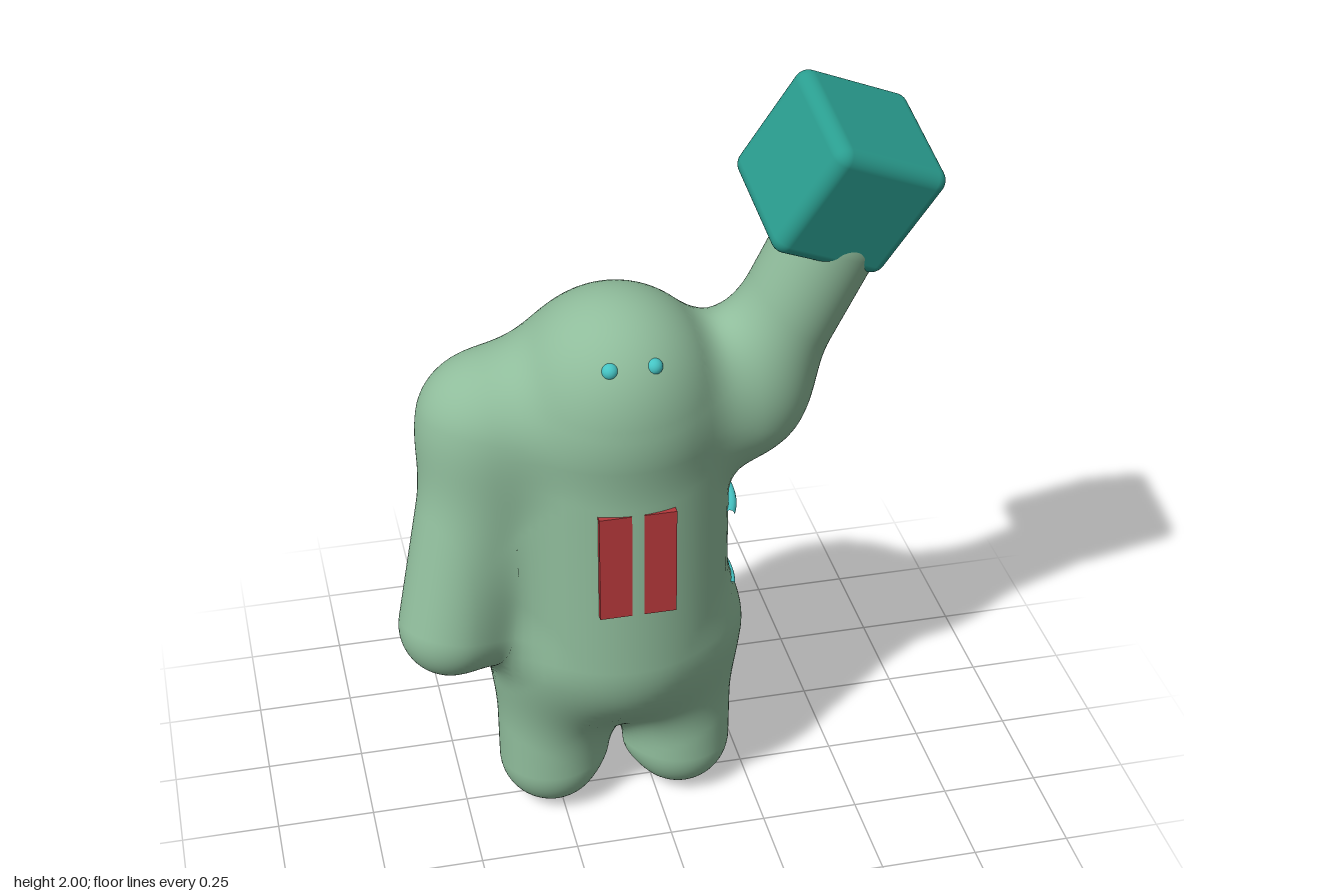
import * as THREE from 'three';
import { RoundedBoxGeometry } from 'three/addons/geometries/RoundedBoxGeometry.js';

const V = (x, y, z) => new THREE.Vector3(x, y, z);
const CX = -0.097; // body axis
const BLEND = 0.14; // softness of the joins between limbs

// Soft figure: name, start, end, radius of each rounded limb
const LIMBS = [
  ['torso', V(CX, 0.57, 0), V(CX, 1.165, 0), 0.29],
  ['head', V(CX, 1.3, 0.075), V(CX, 1.325, 0.08), 0.187],
  ['leftLeg', V(0.075, 0.135, 0), V(0.078, 0.5, 0), 0.135],
  ['rightLeg', V(-0.27, 0.135, 0), V(-0.273, 0.5, 0), 0.135],
  ['leftUpperArm', V(0, 1.18, 0), V(0.235, 1.18, 0), 0.127],
  ['leftForearm', V(0.235, 1.18, 0), V(0.43, 1.62, 0.05), 0.125],
  ['rightUpperArm', V(-0.2, 1.18, 0), V(-0.415, 1.18, 0), 0.127],
  ['rightForearm', V(-0.415, 1.18, 0), V(-0.53, 0.65, 0.09), 0.13],
];

const tmp = V(0, 0, 0);
function limbDistance(p, [, a, b, r]) {
  const ab = tmp.copy(b).sub(a);
  const t = ((p.x - a.x) * ab.x + (p.y - a.y) * ab.y + (p.z - a.z) * ab.z) / ab.lengthSq();
  return ab.multiplyScalar(THREE.MathUtils.clamp(t, 0, 1)).add(a).distanceTo(p) - r;
}

// Distance to the smoothly merged figure
function field(p) {
  let d = 10;
  for (const limb of LIMBS) {
    const e = limbDistance(p, limb);
    const h = Math.max(BLEND - Math.abs(d - e), 0) / BLEND;
    d = Math.min(d, e) - h * h * BLEND / 4;
  }
  return d;
}

function gradient(p) {
  const s = 0.001, g = V(0, 0, 0), q = V(0, 0, 0);
  for (const k of ['x', 'y', 'z']) {
    q.copy(p); q[k] += s;
    g[k] = field(q);
    q[k] -= 2 * s;
    g[k] -= field(q);
  }
  return g.normalize();
}

// A capsule whose surface is moved out onto the merged figure
function limbGeometry([, a, b, r]) {
  const dir = b.clone().sub(a), len = dir.length();
  const geo = new THREE.CapsuleGeometry(r, len, 18, 60, Math.max(2, Math.round(len / 0.018)));
  geo.applyQuaternion(new THREE.Quaternion().setFromUnitVectors(V(0, 1, 0), dir.normalize()));
  geo.translate((a.x + b.x) / 2, (a.y + b.y) / 2, (a.z + b.z) / 2);
  const pos = geo.attributes.position, nor = geo.attributes.normal, p = V(0, 0, 0);
  for (let i = 0; i < pos.count; i++) {
    p.fromBufferAttribute(pos, i);
    if (field(p) < -0.09) continue; // hidden deep inside
    for (let n = 0; n < 4; n++) p.addScaledVector(gradient(p), -field(p));
    const g = gradient(p);
    pos.setXYZ(i, p.x, p.y, p.z);
    nor.setXYZ(i, g.x, g.y, g.z);
  }
  return geo;
}

export function createModel() {
  const model = new THREE.Group();
  model.name = 'figure';
  const material = (name, color) => {
    const m = new THREE.MeshStandardMaterial({ color });
    m.name = name;
    return m;
  };
  const skin = material('sage green', 0x8fbc9b);
  const teal = material('teal', 0x2a9d8f);
  const red = material('red', 0xb5383b);
  const cyan = material('cyan', 0x45c4c4);
  const add = (name, geo, mat, x = 0, y = 0, z = 0) => {
    const mesh = new THREE.Mesh(geo, mat);
    mesh.name = name;
    mesh.position.set(x, y, z);
    model.add(mesh);
    return mesh;
  };

  for (const limb of LIMBS) add(limb[0], limbGeometry(limb), skin);

  // Eyes and chest panels, in pairs
  for (const s of [-1, 1]) {
    const side = s > 0 ? 'left' : 'right';
    add(side + 'Eye', new THREE.SphereGeometry(0.02, 20, 14), cyan, CX + s * 0.053, 1.417, 0.24);
    add(side + 'ChestPanel', new THREE.BoxGeometry(0.08, 0.29, 0.03), red, -0.095 + s * 0.055, 0.895, 0.277);
  }

  // Thin stripes wrapped round the left flank
  const stripe = (name, y, radius, tube, half) => {
    const geo = new THREE.TorusGeometry(radius, tube, 10, 32, half * 2);
    geo.rotateZ(-half).rotateX(Math.PI / 2);
    add(name, geo, cyan, CX, y, 0);
  };
  stripe('upperStripe', 0.895, 0.299, 0.011, 0.42);
  stripe('lowerStripe', 0.65, 0.304, 0.007, 0.27);

  // Tilted block held up by the raised hand
  const block = add('block', new RoundedBoxGeometry(0.324, 0.324, 0.324, 4, 0.036), teal, 0.443, 1.771, 0.05);
  const ax = V(0.891, -0.41, -0.196).normalize();
  const ay = V(0.448, 0.862, 0.234).projectOnPlane(ax).normalize();
  block.quaternion.setFromRotationMatrix(
    new THREE.Matrix4().makeBasis(ax, ay, ax.clone().cross(ay)));

  return model;
}
